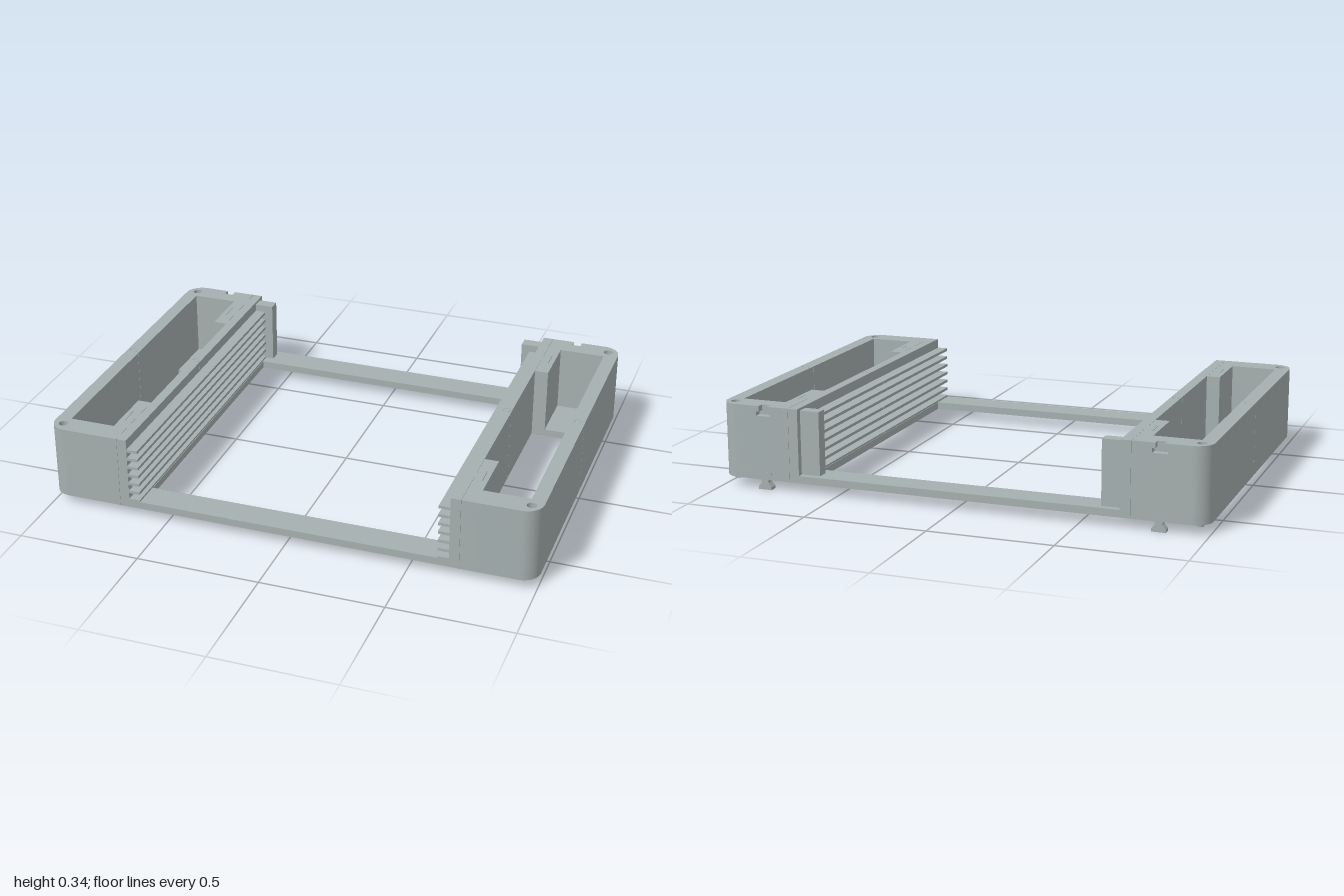
import * as THREE from 'three';
import { toCreasedNormals } from 'three/addons/utils/BufferGeometryUtils.js';

const BASE = 0.04, FLOOR = 0.07, TOP = 0.34; // main heights
const SEAM = 0.0007;

export function createModel() {
  const model = new THREE.Group();
  model.name = 'trayFrame';
  const grey = new THREE.MeshStandardMaterial({ color: 0xa6b0b0 });
  grey.name = 'grey plastic';

  function add(geometry, name, parent = model) {
    const mesh = new THREE.Mesh(geometry, grey);
    mesh.name = name;
    parent.add(mesh);
    return mesh;
  }

  function box(name, x0, x1, y0, y1, z0, z1, parent) {
    const mesh = add(new THREE.BoxGeometry(Math.abs(x1 - x0), y1 - y0, Math.abs(z1 - z0)), name, parent);
    mesh.position.set((x0 + x1) / 2, (y0 + y1) / 2, (z0 + z1) / 2);
  }

  // Plan outline in (x, v), mirrored by sx and sz, raised from y0 to y1
  function slab(name, points, sx, sz, y0, y1, parent, holes = []) {
    const map = list => list.map(([x, v]) => new THREE.Vector2(sx * x, -sz * v));
    const outline = map(points);
    // A counter-clockwise outline lets the extrusion orient its holes
    if (THREE.ShapeUtils.isClockWise(outline)) outline.reverse();
    const shape = new THREE.Shape(outline);
    for (const hole of holes) shape.holes.push(new THREE.Path(map(hole)));
    const g = new THREE.ExtrudeGeometry(shape, { depth: y1 - y0, bevelEnabled: false });
    g.rotateX(-Math.PI / 2);
    g.translate(0, y0, 0);
    add(toCreasedNormals(g, 0.5), name, parent);
  }

  function circle(cx, cv, r, n = 24) {
    return Array.from({ length: n }, (_, i) => {
      const a = (i / n) * Math.PI * 2;
      return [cx + r * Math.cos(a), cv + r * Math.sin(a)];
    });
  }

  // Round key on the front halves, matching socket on the back halves
  function key(xc, sz) {
    const r = sz > 0 ? 0.0145 : 0.016, d = -sz;
    return Array.from({ length: 13 }, (_, i) => {
      const t = 0.45 + (i / 12) * (Math.PI * 2 - 0.9);
      return [xc + r * Math.sin(t), d * (0.019 - r * Math.cos(t))];
    });
  }

  // Half of a side housing: inner edge, round corner, optional back notch, seam key
  function housing(sz, inner, notch = 0) {
    const corner = Array.from({ length: 13 }, (_, i) => {
      const a = Math.PI / 2 * (1 - i / 12);
      return [0.93 + 0.07 * Math.cos(a), 0.65 + 0.07 * Math.sin(a)];
    });
    const slot = notch ? [[0.81 - notch, 0.72], [0.81 - notch, 0.69],
      [0.81 + notch, 0.69], [0.81 + notch, 0.72]] : [];
    return [
      [0.943, SEAM], ...inner, [0.701, 0.72],
      ...slot, ...corner, [1, SEAM], ...key(0.972, sz),
    ];
  }
  const floorEdge = [[0.943, 0.395], [0.701, 0.395]];
  const pocketEdge = [[0.943, 0.625], [0.757, 0.625], [0.757, 0.395], [0.701, 0.395],
    [0.701, 0.504], [0.737, 0.485], [0.737, 0.56], [0.701, 0.541]];

  // Half of a rail, with a dovetail that slides into the housing
  const dovetail = [[0.7, 0.54], [0.735, 0.558], [0.735, 0.487], [0.7, 0.505]];
  function rail(sz, tenon) {
    return [[0.66, SEAM], [0.66, 0.72], [0.7, 0.72], ...tenon, [0.7, SEAM], ...key(0.68, sz)];
  }

  for (const sx of [1, -1]) {
    const side = new THREE.Group();
    side.name = sx > 0 ? 'leftSide' : 'rightSide';
    model.add(side);

    for (const sz of [1, -1]) {
      const end = sz > 0 ? 'front' : 'back';
      const screwHole = [circle(0.955, 0.67, 0.019)];
      const cut = sz < 0 ? 1 : 0;
      slab(end + 'HousingFloor', housing(sz, floorEdge), sx, sz, BASE, FLOOR, side);
      slab(end + 'HousingWalls', housing(sz, pocketEdge), sx, sz, FLOOR, 0.3, side);
      // Rim with pin hole; the back rim also has a stepped notch
      slab(end + 'HousingLowerRim', housing(sz, pocketEdge, cut * 0.03), sx, sz, 0.3, 0.318, side, screwHole);
      slab(end + 'HousingUpperRim', housing(sz, pocketEdge, cut * 0.018), sx, sz, 0.318, TOP, side, screwHole);
      slab(end + 'RailFoot', rail(sz, []), sx, sz, BASE, FLOOR, side);
      slab(end + 'Rail', rail(sz, dovetail), sx, sz, FLOOR, TOP, side);

      // Locating pin underneath
      const pin = add(new THREE.CylinderGeometry(0.016, 0.014, 0.016, 20), end + 'Pin', side);
      pin.position.set(sx * 0.955, 0.033, sz * 0.67);

      // Slot ribs along the inner face, stopping short of the back stop
      const length = sz > 0 ? 0.72 : 0.645;
      for (let i = 0; i < 7; i++) {
        const y = 0.3 - i * 0.037;
        box(end + 'Rib', sx * 0.615, sx * 0.66, y - 0.012, y, sz * SEAM, sz * length, side);
      }
    }

    // Upright stop at the back of the ribs
    box('backStop', sx * 0.58, sx * 0.66, FLOOR, 0.33, -0.695, -0.645, side);

    // Bow-tie tab: upper half set into the back wall, lower half hanging below
    const half = [[0.028, 0], [0.028, 0.012], [0.015, 0.028], [0.015, 0.042], [0.028, 0.058], [0.028, 0.07]];
    const outline = [...half, ...half.map(([x, y]) => [-x, y]).reverse()];
    const tab = new THREE.Shape(outline.map(p => new THREE.Vector2(...p)));
    const tabMesh = add(new THREE.ExtrudeGeometry(tab, { depth: 0.031, bevelEnabled: false }), 'backTab', side);
    tabMesh.position.set(sx * 0.81, 0, -0.721);
  }

  // Flat base frame joining both sides
  slab('baseFrame', [[-0.66, -0.72], [0.66, -0.72], [0.66, 0.72], [-0.66, 0.72]], 1, 1, BASE, FLOOR, model,
    [[[-0.613, -0.603], [0.613, -0.603], [0.613, 0.6], [-0.613, 0.6]]]);

  return model;
}
